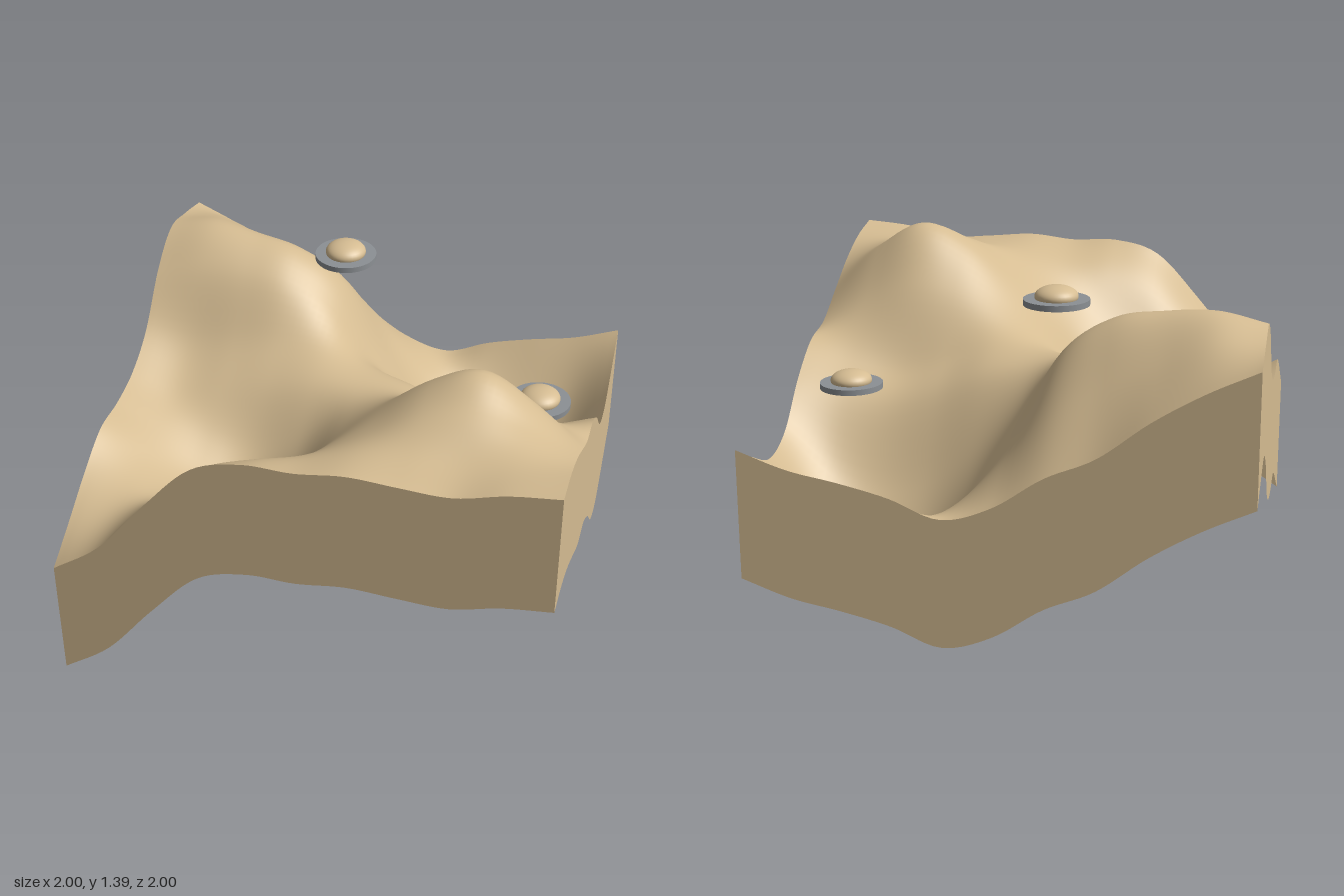
import * as THREE from 'three';

// Terrain heights on an 11 x 11 grid: rows run back (z = -1) to front, columns x = -1 to 1
const HEIGHTS = [
  [1.175, 1.08, 0.96, 0.81, 0.72, 0.59, 0.532, 0.605, 0.655, 0.695, 0.765],
  [1.225, 1.22, 1.13, 1.03, 0.92, 0.69, 0.51, 0.42, 0.41, 0.48, 0.67],
  [1.255, 1.295, 1.275, 1.23, 1.09, 0.75, 0.47, 0.28, 0.235, 0.345, 0.60],
  [1.15, 1.19, 1.20, 1.18, 1.06, 0.81, 0.60, 0.45, 0.405, 0.47, 0.65],
  [0.96, 0.93, 0.96, 0.99, 0.99, 0.925, 0.86, 0.77, 0.72, 0.74, 0.82],
  [0.865, 0.81, 0.83, 0.87, 0.92, 0.95, 0.95, 0.90, 0.865, 0.89, 0.94],
  [0.84, 0.755, 0.69, 0.67, 0.77, 0.94, 1.06, 1.14, 1.17, 1.09, 0.98],
  [0.845, 0.73, 0.63, 0.60, 0.73, 0.96, 1.15, 1.31, 1.385, 1.265, 1.08],
  [0.77, 0.73, 0.70, 0.75, 0.89, 1.05, 1.18, 1.29, 1.325, 1.27, 1.18],
  [0.67, 0.72, 0.86, 1.02, 1.11, 1.16, 1.215, 1.235, 1.235, 1.25, 1.25],
  [0.575, 0.72, 0.96, 1.17, 1.23, 1.225, 1.245, 1.23, 1.22, 1.265, 1.285],
];
const SEGMENTS = 70;
const WALL = 0.53;

// Smooth curve through evenly spaced values, t from -1 to 1
function spline(values, t) {
  const last = values.length - 1;
  const u = (t + 1) / 2 * last;
  const i = Math.min(last - 1, Math.max(0, Math.floor(u)));
  const f = u - i;
  const b = values[i], c = values[i + 1];
  const a = i > 0 ? values[i - 1] : 2 * b - c;
  const d = i + 2 <= last ? values[i + 2] : 2 * c - b;
  return b + 0.5 * f * (c - a + f * (2 * a - 5 * b + 4 * c - d + f * (3 * (b - c) + d - a)));
}

const height = (x, z) => spline(HEIGHTS.map((row) => spline(row, x)), z);

// Rolling top surface
function makeSurface() {
  const geometry = new THREE.PlaneGeometry(2, 2, SEGMENTS, SEGMENTS).rotateX(-Math.PI / 2);
  const p = geometry.attributes.position;
  for (let i = 0; i < p.count; i++) p.setY(i, height(p.getX(i), p.getZ(i)));
  geometry.computeVertexNormals();
  return geometry;
}

// Side wall hanging from one edge of the surface; pointAt maps t to [x, z]
function makeWall(pointAt) {
  const geometry = new THREE.PlaneGeometry(2, 1, SEGMENTS, 1);
  const p = geometry.attributes.position;
  for (let i = 0; i < p.count; i++) {
    const [x, z] = pointAt(p.getX(i));
    p.setXYZ(i, x, height(x, z) - (p.getY(i) < 0 ? WALL : 0), z);
  }
  geometry.computeVertexNormals();
  return geometry;
}

export function createModel() {
  const model = new THREE.Group();
  model.name = 'terrainWithSaucers';
  const sand = new THREE.MeshStandardMaterial({ color: 0xd5bc92, side: THREE.DoubleSide });
  sand.name = 'sand';
  const grey = new THREE.MeshStandardMaterial({ color: 0x8c9094 });
  grey.name = 'grey';

  const add = (parent, name, geometry, material) => {
    const mesh = new THREE.Mesh(geometry, material);
    mesh.name = name;
    parent.add(mesh);
    return mesh;
  };

  // Terrain block, open underneath
  const terrain = new THREE.Group();
  terrain.name = 'terrain';
  model.add(terrain);
  add(terrain, 'surface', makeSurface(), sand);
  const walls = {
    frontWall: (t) => [t, 1],
    backWall: (t) => [-t, -1],
    leftWall: (t) => [1, -t],
    rightWall: (t) => [-1, t],
  };
  for (const [name, pointAt] of Object.entries(walls)) add(terrain, name, makeWall(pointAt), sand);

  // Hovering saucers: a flat disc with a flattened dome through it
  [[-0.167, 1.283, -0.5], [0.748, 0.827, -0.25]].forEach(([x, y, z], i) => {
    const saucer = new THREE.Group();
    saucer.name = `saucer${i + 1}`;
    saucer.position.set(x, y, z);
    add(saucer, 'disc', new THREE.CylinderGeometry(0.132, 0.132, 0.024, 40), grey);
    const dome = add(saucer, 'dome', new THREE.SphereGeometry(0.087, 32, 20), sand);
    dome.scale.y = 0.51;
    dome.position.y = 0.021;
    model.add(saucer);
  });

  return model;
}
